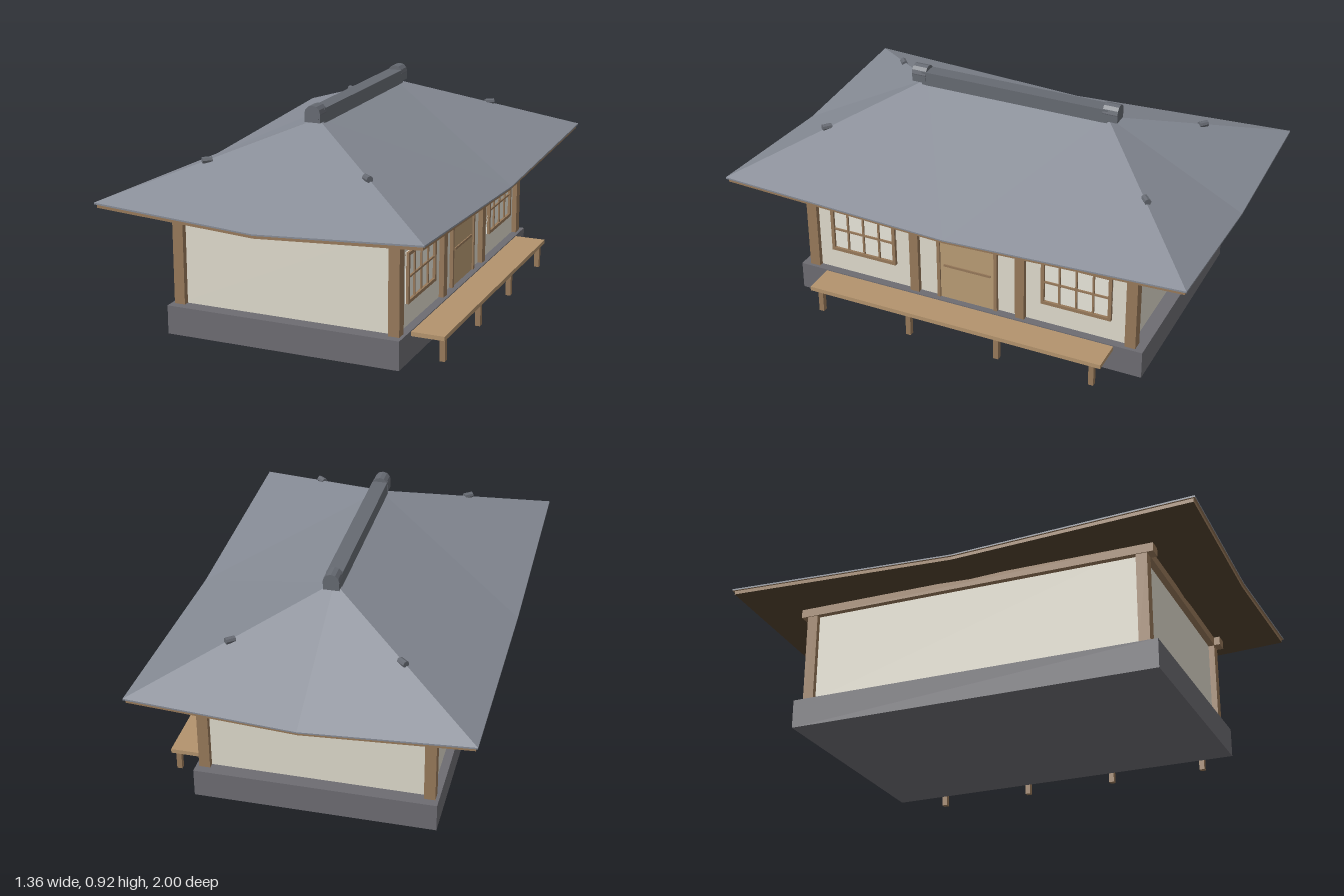
import * as THREE from 'three';

const mat = (color) => new THREE.MeshStandardMaterial({ color, flatShading: true });
const M = {
  slate: mat(0x868b95), ridge: mat(0x666a72), stone: mat(0x6d6c72), plaster: mat(0xdedacb),
  wood: mat(0x97795a), deck: mat(0xb3936d), soffit: mat(0x54432f), paper: mat(0xe8e5da), door: mat(0xb89b74),
};

export function createModel() {
  const root = new THREE.Group();

  const add = (name, geo, material, parent = root) => {
    const m = new THREE.Mesh(geo, material);
    m.name = name;
    parent.add(m);
    return m;
  };
  // Box given by its min and max on each axis
  const box = (name, material, x0, x1, y0, y1, z0, z1, parent) => {
    const m = add(name, new THREE.BoxGeometry(x1 - x0, y1 - y0, z1 - z0), material, parent);
    m.position.set((x0 + x1) / 2, (y0 + y1) / 2, (z0 + z1) / 2);
    return m;
  };
  const faces = (name, material, tris) => {
    const g = new THREE.BufferGeometry().setFromPoints(tris.flat());
    g.computeVertexNormals();
    return add(name, g, material);
  };

  // Plinth and plastered walls
  box('plinth', M.stone, -0.5, 0.5, 0, 0.12, -0.78, 0.78);
  box('walls', M.plaster, -0.465, 0.465, 0.12, 0.545, -0.72, 0.72);

  // Corner posts, and two more posts on the entrance side
  for (const z of [-0.722, 0.722])
    for (const x of [-0.463, 0.463])
      box('cornerPost', M.wood, x - 0.023, x + 0.023, 0.12, 0.5, z - 0.023, z + 0.023);
  for (const z of [-0.24, 0.24])
    box('entrancePost', M.wood, 0.44, 0.486, 0.12, 0.5, z - 0.02, z + 0.02);

  // Beams on top of the walls
  for (const s of [-1, 1]) {
    box('sideBeam', M.wood, s * 0.463 - 0.027, s * 0.463 + 0.027, 0.497, 0.533, -0.772, 0.772);
    box('endBeam', M.wood, -0.44, 0.44, 0.497, 0.533, s * 0.722 - 0.025, s * 0.722 + 0.025);
  }

  // Lattice windows either side of the door
  for (const s of [-1, 1]) {
    const w = new THREE.Group();
    w.name = 'window';
    root.add(w);
    const c = s * 0.483, h = 0.152, y0 = 0.217, y1 = 0.425;
    box('windowPaper', M.paper, 0.46, 0.469, y0, y1, c - h, c + h, w);
    for (const y of [y0, y1 - 0.014]) box('windowRail', M.wood, 0.46, 0.48, y, y + 0.014, c - h, c + h, w);
    for (const e of [-1, 1]) {
      const z = c + e * (h - 0.007);
      box('windowStile', M.wood, 0.46, 0.48, y0, y1, z - 0.007, z + 0.007, w);
    }
    for (const i of [-1, 0, 1]) {
      const z = c + i * 0.073;
      box('windowBar', M.wood, 0.46, 0.476, y0, y1, z - 0.004, z + 0.004, w);
    }
    box('windowCrossBar', M.wood, 0.46, 0.476, 0.317, 0.325, c - h, c + h, w);
  }

  // Sliding door
  box('doorPanel', M.door, 0.46, 0.473, 0.12, 0.44, -0.13, 0.13);
  box('doorLintel', M.wood, 0.46, 0.48, 0.43, 0.444, -0.136, 0.136);
  for (const s of [-1, 1])
    box('doorJamb', M.wood, 0.46, 0.48, 0.12, 0.444, s * 0.129 - 0.007, s * 0.129 + 0.007);
  box('doorRail', M.wood, 0.46, 0.478, 0.274, 0.284, -0.105, 0.105);

  // Veranda on the entrance side
  box('verandaDeck', M.deck, 0.5, 0.637, 0.098, 0.116, -0.657, 0.657);
  for (const z of [-0.615, -0.2, 0.2, 0.615])
    box('verandaLeg', M.wood, 0.606, 0.628, 0, 0.098, z - 0.011, z + 0.011);

  // Eave loop: raised corners, lower midpoints
  const eave = (x, z, corner, mid) => [[1, 1], [1, 0], [1, -1], [0, -1], [-1, -1], [-1, 0], [-1, 1], [0, 1]]
    .map(([a, b]) => new THREE.Vector3(a * x, a && b ? corner : mid, b * z));
  const band = (u, l) => u.flatMap((p, i) => {
    const j = (i + 1) % u.length;
    return [[p, l[i], l[j]], [p, l[j], u[j]]];
  });
  const E = eave(0.68, 1, 0.588, 0.545);
  const lip = eave(0.68, 1, 0.581, 0.539);
  const fasciaTop = eave(0.672, 0.992, 0.581, 0.539);
  const fasciaLow = eave(0.672, 0.992, 0.566, 0.526);
  const F = new THREE.Vector3(0, 0.855, 0.41), B = new THREE.Vector3(0, 0.855, -0.41);

  // Hipped roof, fascia and soffit
  const slopes = E.map((p, i) => [i === 0 || i > 4 ? F : B, p, E[(i + 1) % 8]]);
  faces('roof', M.slate, [...slopes, [F, E[1], B], [B, E[5], F], ...band(E, lip)]);
  faces('fascia', M.wood, [...band(lip, fasciaTop), ...band(fasciaTop, fasciaLow)]);
  const middle = new THREE.Vector3(0, 0.53, 0);
  faces('soffit', M.soffit, fasciaLow.map((p, i) => [middle, fasciaLow[(i + 1) % 8], p]));

  // Ridge with round end tiles
  box('ridge', M.ridge, -0.032, 0.032, 0.84, 0.9, -0.42, 0.42);
  for (const s of [-1, 1]) {
    const cap = add('ridgeEndTile', new THREE.CylinderGeometry(0.034, 0.034, 0.065, 12), M.ridge);
    cap.rotation.x = Math.PI / 2;
    cap.position.set(0, 0.885, s * 0.433);
    box('ridgeEndBlock', M.ridge, -0.033, 0.033, 0.85, 0.886, s * 0.433 - 0.032, s * 0.433 + 0.032);
  }

  // Small tiles halfway down each hip
  const up = new THREE.Vector3(0, 1, 0);
  for (const x of [-1, 1])
    for (const z of [-1, 1]) {
      const t = add('hipTile', new THREE.CylinderGeometry(0.014, 0.014, 0.04, 8), M.ridge);
      t.position.set(x * 0.34, 0.722, z * 0.71);
      t.quaternion.setFromUnitVectors(up, new THREE.Vector3(x * 0.68, 0, z * 0.59).normalize());
    }

  return root;
}
